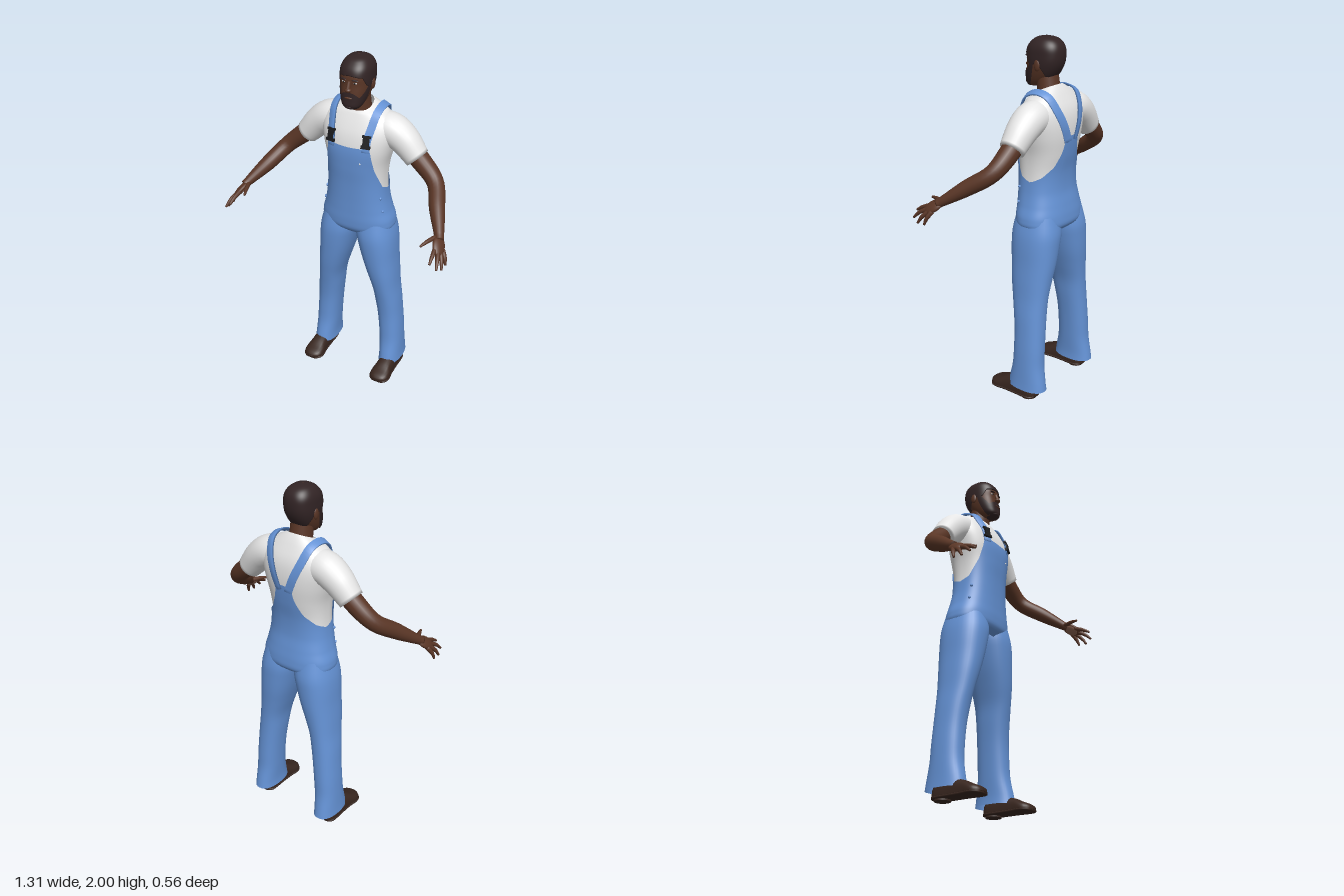
import * as THREE from 'three';

const V = (x, y, z) => new THREE.Vector3(x, y, z);
const mat = (name, color, side = THREE.FrontSide) => {
  const m = new THREE.MeshStandardMaterial({ color, side });
  m.name = name;
  return m;
};

// Smooth (or straight) interpolation through rows of [key, ...values]
function sample(table, k, smooth = true) {
  const n = table.length;
  let i = 0;
  while (i < n - 2 && k > table[i + 1][0]) i++;
  const A = table[i], B = table[i + 1], h = B[0] - A[0];
  const t = THREE.MathUtils.clamp((k - A[0]) / h, 0, 1);
  const P = table[Math.max(i - 1, 0)], Q = table[Math.min(i + 2, n - 1)];
  return A.slice(1).map((a, c) => {
    const b = B[c + 1];
    if (!smooth) return a + (b - a) * t;
    const m0 = (b - P[c + 1]) / (B[0] - P[0]) * h, m1 = (Q[c + 1] - a) / (Q[0] - A[0]) * h;
    const t2 = t * t, t3 = t2 * t;
    return (2 * t3 - 3 * t2 + 1) * a + (t3 - 2 * t2 + t) * m0 + (3 * t2 - 2 * t3) * b + (t3 - t2) * m1;
  });
}

// Skin over rings of points; rings may be closed and capped
function loft(rings, closed = true, caps = true) {
  const pos = [], idx = [], n = rings[0].length, cols = closed ? n : n - 1;
  rings.forEach(r => r.forEach(p => pos.push(p.x, p.y, p.z)));
  for (let i = 0; i < rings.length - 1; i++) for (let j = 0; j < cols; j++) {
    const a = i * n + j, b = i * n + (j + 1) % n;
    idx.push(a, b, b + n, a, b + n, a + n);
  }
  if (closed && caps) [0, rings.length - 1].forEach((r, e) => {
    const c = rings[r].reduce((s, p) => s.add(p), V(0, 0, 0)).divideScalar(n), k = pos.length / 3;
    pos.push(c.x, c.y, c.z);
    for (let j = 0; j < n; j++) {
      const a = r * n + j, b = r * n + (j + 1) % n;
      e ? idx.push(a, b, k) : idx.push(b, a, k);
    }
  });
  const g = new THREE.BufferGeometry();
  g.setAttribute('position', new THREE.Float32BufferAttribute(pos, 3));
  g.setIndex(idx);
  g.computeVertexNormals();
  return g;
}

// Tapered limb through points [x, y, z, radius]
function limb(pts, sides = 16, rows = 20) {
  const curve = new THREE.CatmullRomCurve3(pts.map(p => V(p[0], p[1], p[2])));
  const f = curve.computeFrenetFrames(rows, false), rings = [];
  const radii = pts.map((p, i) => [i / (pts.length - 1), p[3]]);
  for (let i = 0; i <= rows; i++) {
    const c = curve.getPoint(i / rows), r = sample(radii, i / rows)[0];
    rings.push(Array.from({ length: sides }, (_, j) => {
      const a = j / sides * Math.PI * 2;
      return c.clone().addScaledVector(f.normals[i], Math.cos(a) * r).addScaledVector(f.binormals[i], Math.sin(a) * r);
    }));
  }
  return loft(rings);
}

const POW = 2.4;
const sp = (v, n = POW) => Math.sign(v) * Math.abs(v) ** (2 / n);

// Point on a body surface; table rows are [y, halfWidth, zFront, zBack, tilt]; angle 0 is the front
function bodyPoint(table, a, y, off = 0) {
  const [w, zf, zb, tilt = 0] = sample(table, y);
  const z = (zf + zb) / 2 + ((zf - zb) / 2 + off) * sp(Math.cos(a));
  return V((w + off) * sp(Math.sin(a)), y - tilt * (z + 0.13), z);
}

// Piece of a body surface between two heights that may vary with the angle
function patch(table, lo, hi, { from = -Math.PI, to = Math.PI, cols = 96, rows = 32, off = 0, caps = false } = {}) {
  const closed = to - from > 6.28, rings = [];
  for (let i = 0; i <= rows; i++) {
    rings.push(Array.from({ length: closed ? cols : cols + 1 }, (_, j) => {
      const a = from + (to - from) * j / cols, l = lo(Math.abs(a)), h = hi(Math.abs(a));
      return bodyPoint(table, a, l + (h - l) * i / rows, off);
    }));
  }
  return loft(rings, closed, caps);
}
const flat = y => () => y;
const line = table => a => sample(table, a, false)[0];

const TORSO = [
  [0.965, 0.12, -0.05, -0.22, 0], [1.0, 0.195, -0.015, -0.262, 0], [1.05, 0.205, -0.006, -0.266, 0],
  [1.12, 0.186, -0.005, -0.256, 0], [1.2, 0.17, -0.004, -0.243, 0], [1.3, 0.163, 0, -0.245, 0],
  [1.4, 0.17, 0.008, -0.262, 0], [1.5, 0.195, 0.01, -0.274, 0], [1.58, 0.21, -0.005, -0.272, 0],
  [1.64, 0.2, -0.03, -0.258, 0], [1.695, 0.15, -0.055, -0.225, 0.1], [1.72, 0.095, -0.06, -0.2, 0.36],
  [1.73, 0.074, -0.066, -0.19, 0.42]];
const BIB_TOP = [[0, 1.525], [0.56, 1.53], [0.61, 1.49], [0.87, 1.39], [1.3, 1.28], [1.65, 1.255],
  [2.13, 1.285], [2.59, 1.34], [2.86, 1.42], [2.97, 1.5], [3.15, 1.5]];
// Leg rows: y, outer x, inner x, front z, back z
const LEG = [
  [0.06, 0.29, 0.155, -0.04, -0.28], [0.1, 0.287, 0.157, -0.047, -0.274], [0.2, 0.283, 0.15, -0.068, -0.258],
  [0.3, 0.278, 0.142, -0.072, -0.255], [0.4, 0.27, 0.132, -0.07, -0.252], [0.5, 0.262, 0.119, -0.058, -0.25],
  [0.6, 0.25, 0.105, -0.04, -0.252], [0.7, 0.243, 0.075, -0.022, -0.26], [0.8, 0.235, 0.043, -0.01, -0.27],
  [0.9, 0.23, 0.016, -0.002, -0.275], [0.97, 0.222, 0.001, -0.002, -0.275], [1.07, 0.198, 0, -0.02, -0.255]];
const HEAD = [
  [1.735, 0.035, -0.012, -0.08], [1.75, 0.05, 0, -0.12], [1.78, 0.064, 0, -0.155], [1.82, 0.075, -0.003, -0.185],
  [1.86, 0.081, -0.007, -0.203], [1.9, 0.082, -0.006, -0.209], [1.94, 0.078, -0.016, -0.205],
  [1.97, 0.062, -0.04, -0.187], [1.988, 0.039, -0.068, -0.158], [1.996, 0.005, -0.105, -0.12]];
const HAIRLINE = [[0, 1.915], [0.8, 1.905], [1.1, 1.86], [1.35, 1.85], [1.6, 1.865], [1.9, 1.83], [2.3, 1.795], [3.15, 1.785]];
const BEARDLINE = [[0, 1.828], [0.3, 1.822], [0.75, 1.8], [1.05, 1.83], [1.25, 1.865], [1.5, 1.865]];
// Shoe rows: z, half width, height
const SHOE = [[-0.225, 0.025, 0.05], [-0.205, 0.046, 0.09], [-0.1, 0.05, 0.105], [-0.03, 0.053, 0.088],
  [0.02, 0.06, 0.064], [0.055, 0.052, 0.05], [0.074, 0.03, 0.038]];

export function createModel() {
  const model = new THREE.Group();
  const denim = mat('denim blue', 0x6593d6, THREE.DoubleSide), white = mat('shirt white', 0xe6e6e6, THREE.DoubleSide);
  const skin = mat('brown skin', 0x5a3626), palmSkin = mat('palm skin', 0x8a6250);
  const hair = mat('dark hair', 0x322425, THREE.DoubleSide), leather = mat('shoe leather', 0x38261f);
  const black = mat('buckle black', 0x1b1b1d);
  const add = (name, geo, m, p) => {
    const mesh = new THREE.Mesh(geo, m);
    mesh.name = name;
    if (p) mesh.position.copy(p);
    model.add(mesh);
    return mesh;
  };
  const ball = (name, m, p, sx, sy, sz) => add(name, new THREE.SphereGeometry(1, 20, 14).scale(sx, sy, sz), m, p);

  // Torso clothes
  add('shirtBody', patch(TORSO, flat(1.2), flat(1.73)), white);
  add('overallsBody', patch(TORSO, flat(0.965), line(BIB_TOP), { off: 0.008, rows: 44, caps: false }), denim);

  // Head, hair and beard
  add('head', patch(HEAD, flat(1.735), flat(1.996), { cols: 48, caps: true }), skin);
  add('hair', patch(HEAD, line(HAIRLINE), flat(1.996), { off: 0.004, caps: true }), hair);
  add('beard', patch(HEAD, flat(1.735), line(BEARDLINE), { from: -1.45, to: 1.45, cols: 60, rows: 14, off: 0.005 }), hair);
  ball('chinBeard', hair, V(0, 1.746, -0.035), 0.04, 0.018, 0.042);
  add('neck', limb([[0, 1.66, -0.135, 0.066], [0, 1.73, -0.126, 0.061], [0, 1.83, -0.11, 0.06]], 24), skin);
  ball('noseTip', skin, V(0, 1.84, 0.003), 0.018, 0.013, 0.017);
  add('noseBridge', limb([[0, 1.885, -0.008, 0.009], [0, 1.86, 0, 0.011], [0, 1.842, 0.006, 0.012]], 10, 8), skin);
  ball('lips', skin, V(0, 1.797, 0.002), 0.022, 0.006, 0.006);

  for (const s of [1, -1]) {
    // Face details
    ball('ear', skin, V(s * 0.083, 1.853, -0.112), 0.009, 0.03, 0.018);
    ball('eye', white, V(s * 0.031, 1.877, -0.013), 0.011, 0.005, 0.006);
    ball('pupil', black, V(s * 0.031, 1.877, -0.0085), 0.005, 0.005, 0.003);
    ball('eyebrow', hair, V(s * 0.033, 1.893, -0.009), 0.018, 0.004, 0.006).rotation.y = s * 0.25;

    // Trouser leg
    const rings = [];
    for (let i = 0; i <= 40; i++) {
      const y = 0.06 + 1.01 * i / 40, [o, n, zf, zb] = sample(LEG, y);
      rings.push(Array.from({ length: 36 }, (_, j) => {
        const a = j / 36 * Math.PI * 2;
        return V(s * (o + n) / 2 + (o - n) / 2 * sp(Math.sin(a), 2.3), y, (zf + zb) / 2 + (zf - zb) / 2 * sp(Math.cos(a), 2.3));
      }));
    }
    add('trouserLeg', loft(rings, true, false), denim);

    // Shoe upper, sole and heel
    const shoe = (y0, grow, top) => loft(Array.from({ length: 25 }, (_, i) => {
      const z = -0.225 + 0.299 * i / 24, [w, h] = sample(SHOE, z);
      return Array.from({ length: 24 }, (_, j) => {
        const a = j / 24 * Math.PI * 2, sn = Math.sin(a), t = top ?? h;
        return V(s * 0.229 + (w + grow) * sp(Math.cos(a), 2.6), sn > 0 ? y0 + 0.008 + (t - y0 - 0.008) * sp(sn) : y0 + 0.008 * (1 + sp(sn, 6)), z);
      });
    }));
    add('shoeUpper', shoe(0.015, 0), leather);
    add('shoeSole', shoe(0.008, 0.004, 0.026), leather);
    add('shoeHeel', new THREE.CylinderGeometry(0.044, 0.044, 0.02, 20), leather, V(s * 0.229, 0.01, -0.175));

    // Sleeve and arm
    add('sleeve', limb([[s * 0.1, 1.605, -0.15, 0.088], [s * 0.18, 1.598, -0.152, 0.09], [s * 0.25, 1.555, -0.152, 0.083],
      [s * 0.332, 1.468, -0.148, 0.067]], 28), white);
    add('arm', limb([[s * 0.27, 1.53, -0.15, 0.056], [s * 0.36, 1.45, -0.147, 0.053], [s * 0.45, 1.37, -0.12, 0.046],
      [s * 0.515, 1.288, -0.005, 0.042], [s * 0.575, 1.215, 0.1, 0.027], [s * 0.59, 1.195, 0.13, 0.024]], 20, 30), skin);

    // Hand: palm, paler inner side, then fingers
    const d = V(s * 0.03, -0.05, 0.085).normalize(), across = V(s * 0.035, -0.025, -0.05);
    const n = d.clone().cross(across).normalize();
    if (n.y < 0) n.negate();
    const basis = new THREE.Matrix4().makeBasis(d, n, d.clone().cross(n)), mid = V(s * 0.598, 1.178, 0.153);
    ball('palm', skin, mid, 0.06, 0.018, 0.038).quaternion.setFromRotationMatrix(basis);
    ball('palmInside', palmSkin, mid.clone().addScaledVector(n, -0.005), 0.05, 0.015, 0.033).quaternion.setFromRotationMatrix(basis);
    const fingers = [
      [[0.57, 1.205, 0.12], [0.546, 1.203, 0.18], [0.528, 1.195, 0.226]],
      [[0.59, 1.178, 0.175], [0.597, 1.158, 0.23], [0.6, 1.135, 0.27]],
      [[0.605, 1.165, 0.175], [0.624, 1.138, 0.227], [0.635, 1.105, 0.262]],
      [[0.614, 1.157, 0.165], [0.637, 1.122, 0.2], [0.648, 1.086, 0.222]],
      [[0.618, 1.157, 0.145], [0.64, 1.122, 0.163], [0.649, 1.088, 0.174]]];
    fingers.forEach((f, i) => add(i ? 'finger' : 'thumb',
      limb(f.map((p, k) => [s * p[0], p[1], p[2], [0.013, 0.0105, 0.006][k]]), 10, 10), skin));

    // Strap over the shoulder, lying on the shirt
    const onShirt = (x, y, side) => {
      const [w, zf, zb] = sample(TORSO, y);
      return V(s * x, y, (zf + zb) / 2 + side * ((zf - zb) / 2 * (1 - (x / w) ** POW) ** (1 / POW) + 0.007));
    };
    const path = new THREE.CatmullRomCurve3([onShirt(0.1, 1.51, 1), onShirt(0.105, 1.58, 1), onShirt(0.115, 1.64, 1),
      V(s * 0.124, 1.703, -0.078), V(s * 0.127, 1.728, -0.145), V(s * 0.12, 1.71, -0.212), onShirt(0.098, 1.64, -1),
      onShirt(0.065, 1.56, -1), onShirt(0.03, 1.47, -1)]);
    const strap = [];
    for (let i = 0; i <= 40; i++) {
      const p = path.getPoint(i / 40), t = path.getTangent(i / 40);
      const out = V(p.x * 0.5, p.y - 1.58, p.z + 0.14).addScaledVector(t, -V(p.x * 0.5, p.y - 1.58, p.z + 0.14).dot(t)).normalize();
      const side = out.clone().cross(t);
      strap.push([[-1, -1], [-1, 1], [1, 1], [1, -1]].map(([u, v]) =>
        p.clone().addScaledVector(side, u * 0.021).addScaledVector(out, v * 0.005)));
    }
    add('strap', loft(strap), denim);

    // Strap buckle: two wide bars and a narrow centre
    for (const [y, w, h] of [[1.598, 0.046, 0.012], [1.57, 0.034, 0.042], [1.543, 0.05, 0.016]]) {
      const p = onShirt(0.103, y, 1);
      p.z += 0.008;
      add('buckle', new THREE.BoxGeometry(w, h, 0.014), black, p).rotation.set(-0.2, s * 0.25, 0);
    }

    // Hip buttons
    for (const y of [1.215, 1.135]) ball('hipButton', denim, bodyPoint(TORSO, s * 1.15, y, 0.009), 0.007, 0.009, 0.009);
  }
  ball('bibButton', white, bodyPoint(TORSO, 0.33, 1.44, 0.009), 0.005, 0.005, 0.003);
  return model;
}
